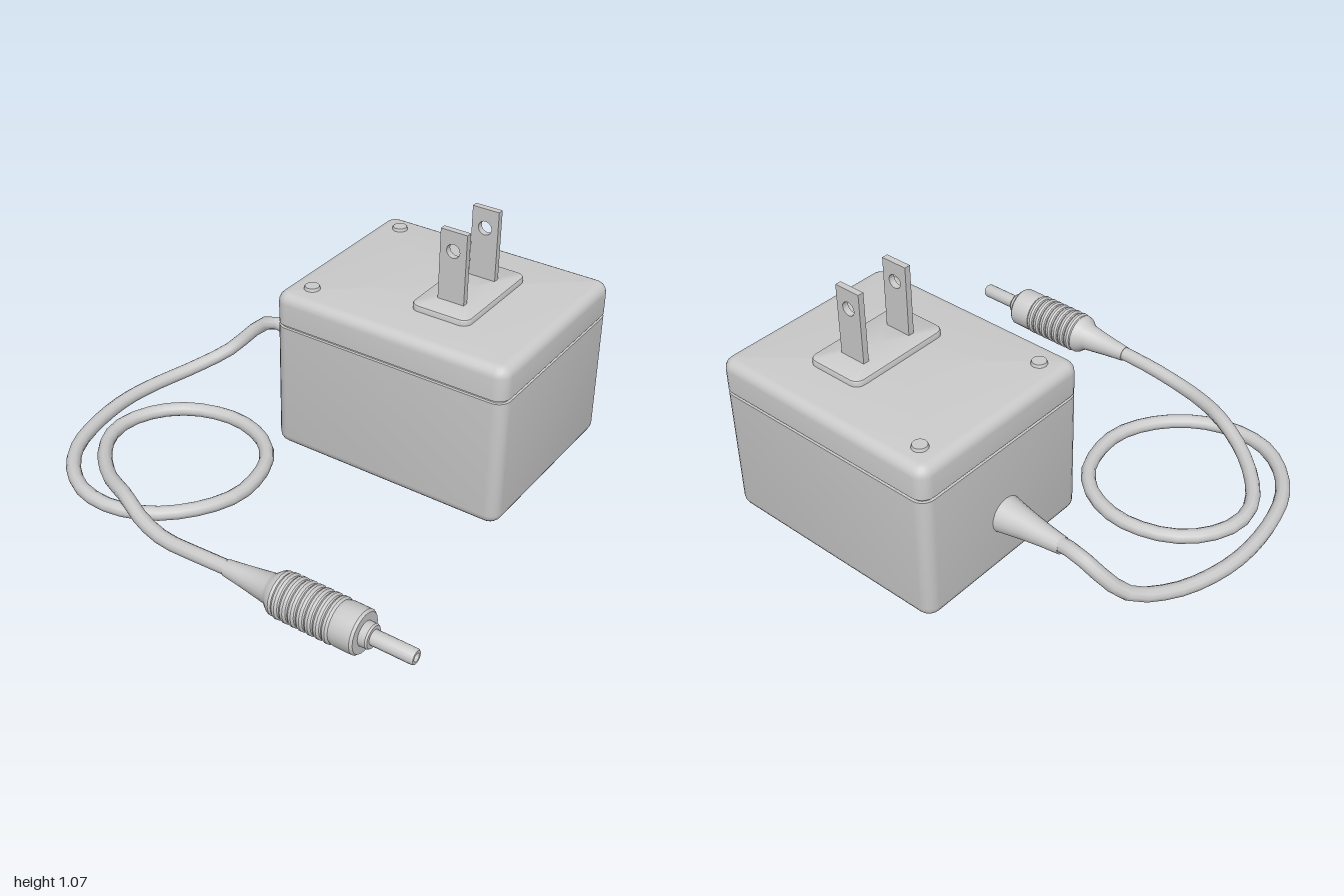
import * as THREE from 'three';
import { toCreasedNormals } from 'three/addons/utils/BufferGeometryUtils.js';

const material = new THREE.MeshStandardMaterial({ color: 0xcccccc });

function part(parent, name, geometry, x = 0, y = 0, z = 0) {
  const mesh = new THREE.Mesh(geometry, material);
  mesh.name = name;
  mesh.position.set(x, y, z);
  parent.add(mesh);
  return mesh;
}

// Rounded rectangle stacked along y; profile rows are [height, inset].
function slab(width, depth, radius, profile) {
  const steps = 5, ring = 4 * (steps + 1), positions = [], index = [];
  for (const [y, inset] of profile) {
    const r = Math.max(radius - inset, 0.001);
    for (let c = 0; c < 4; c++) {
      const sx = c === 0 || c === 3 ? 1 : -1, sz = c < 2 ? -1 : 1;
      for (let s = 0; s <= steps; s++) {
        const a = (c + s / steps) * Math.PI / 2;
        positions.push(sx * (width / 2 - radius) + r * Math.cos(a), y, sz * (depth / 2 - radius) - r * Math.sin(a));
      }
    }
  }
  const last = (profile.length - 1) * ring, base = profile.length * ring;
  positions.push(0, profile[0][0], 0, 0, profile.at(-1)[0], 0);
  for (let i = 0; i < ring; i++) {
    const j = (i + 1) % ring;
    for (let k = 0; k < last; k += ring) {
      index.push(k + i, k + j, k + ring + j, k + i, k + ring + j, k + ring + i);
    }
    index.push(base, j, i, base + 1, last + i, last + j);
  }
  const geometry = new THREE.BufferGeometry();
  geometry.setAttribute('position', new THREE.Float32BufferAttribute(positions, 3));
  geometry.setIndex(index);
  return toCreasedNormals(geometry, 0.6);
}

// Lathe turned so that its axis runs along +x; rows are [x, radius].
function turned(rows, segments = 20) {
  const points = rows.map(([x, r]) => new THREE.Vector2(r, x));
  return toCreasedNormals(new THREE.LatheGeometry(points, segments).rotateZ(-Math.PI / 2), 0.6);
}

// Quarter-round edge from side to flat, as [height, inset] rows.
function roundEdge(y, direction, radius) {
  return Array.from({ length: 6 }, (_, i) => {
    const a = i / 5 * Math.PI / 2;
    return [y - direction * radius * (1 - Math.sin(a)), radius * (1 - Math.cos(a))];
  });
}

export function createModel() {
  const group = new THREE.Group();
  group.name = 'powerAdapter';

  // Housing: lower shell, recessed seam and lid
  const housing = new THREE.Group();
  housing.name = 'housing';
  housing.position.set(0.277, 0, -0.486);
  group.add(housing);
  const w = 1.075, d = 0.882, r = 0.055;
  part(housing, 'lowerShell', slab(w, d, r, [...roundEdge(0.01, -1, 0.045).reverse(), [0.585, 0]]));
  part(housing, 'seam', slab(w, d, r, [[0.58, 0.012], [0.605, 0.012]]));
  part(housing, 'lid', slab(w, d, r, [[0.598, 0], ...roundEdge(0.738, 1, 0.045)]));

  // Raised plate that carries the prongs
  part(group, 'prongPlate', slab(0.266, 0.48, 0.04, [[0.73, 0], [0.757, 0], [0.762, 0.003], [0.765, 0.01]]), 0.394, 0, -0.486);

  // Two flat prongs, each with a round hole
  const blade = new THREE.Shape([[-0.06, 0.75], [0.06, 0.75], [0.06, 1.075], [-0.06, 1.075]].map(p => new THREE.Vector2(...p)));
  blade.holes.push(new THREE.Path().absarc(0, 0.99, 0.03, 0, Math.PI * 2, true));
  const bladeGeometry = new THREE.ExtrudeGeometry(blade, { depth: 0.027, bevelEnabled: false, curveSegments: 10 });
  for (const z of [-0.361, -0.607]) part(group, 'prong', bladeGeometry, 0.391, 0, z - 0.0135);

  // Screw heads on the lid
  for (const z of [-0.82, -0.16]) {
    part(group, 'screwHead', toCreasedNormals(new THREE.CylinderGeometry(0.03, 0.036, 0.02, 16), 0.6), -0.15, 0.741, z);
  }

  // Flared strain relief where the cord leaves the housing
  part(group, 'strainRelief', turned([[-0.54, 0], [-0.54, 0.036], [-0.46, 0.045], [-0.37, 0.058], [-0.25, 0.08], [-0.25, 0]]), 0, 0.258, -0.488);

  // Cord: drops to the ground, makes one loop and crosses itself
  const path = [
    [-0.5, 0.26, -0.488], [-0.61, 0.267, -0.494], [-0.69, 0.215, -0.478], [-0.79, 0.105, -0.4],
    [-0.885, 0.052, -0.23], [-0.945, 0.04, -0.05], [-0.968, 0.04, 0.13], [-0.945, 0.04, 0.35],
    [-0.89, 0.04, 0.52], [-0.795, 0.04, 0.645], [-0.66, 0.04, 0.73], [-0.5, 0.038, 0.745],
    [-0.34, 0.038, 0.69], [-0.21, 0.04, 0.57], [-0.135, 0.04, 0.42], [-0.13, 0.04, 0.29],
    [-0.18, 0.04, 0.13], [-0.29, 0.04, 0.02], [-0.465, 0.04, -0.035], [-0.66, 0.04, 0.005],
    [-0.78, 0.04, 0.1], [-0.845, 0.04, 0.24], [-0.835, 0.042, 0.365], [-0.76, 0.05, 0.49],
    [-0.61, 0.07, 0.625], [-0.45, 0.096, 0.71], [-0.3, 0.083, 0.78], [-0.155, 0.077, 0.818],
    [0.03, 0.09, 0.83], [0.2, 0.097, 0.83],
  ];
  const curve = new THREE.CatmullRomCurve3(path.map(p => new THREE.Vector3(...p)));
  part(group, 'cord', new THREE.TubeGeometry(curve, 64, 0.031, 10));

  // Barrel connector: tapered tail, ribbed grip, collar and hollow tip
  const grip = [[0.165, 0], [0.165, 0.034], [0.25, 0.044], [0.37, 0.061], [0.385, 0.07], [0.405, 0.086], [0.42, 0.09]];
  for (let i = 0; i < 7; i++) {
    const x = 0.43 + i * 0.037;
    grip.push([x, 0.086], [x + 0.009, 0.093], [x + 0.02, 0.093], [x + 0.029, 0.086]);
  }
  grip.push([0.7, 0.09], [0.775, 0.09], [0.785, 0.082], [0.785, 0]);
  const connector = new THREE.Group();
  connector.name = 'connector';
  connector.position.set(0, 0.095, 0.83);
  group.add(connector);
  part(connector, 'connectorGrip', turned(grip));
  part(connector, 'connectorCollar', turned([[0.78, 0.05], [0.815, 0.05], [0.822, 0.045], [0.822, 0]]));
  part(connector, 'connectorTip', turned([[0.81, 0.031], [0.994, 0.031], [1, 0.027], [1, 0.017], [0.85, 0.017], [0.85, 0]], 16));

  return group;
}
